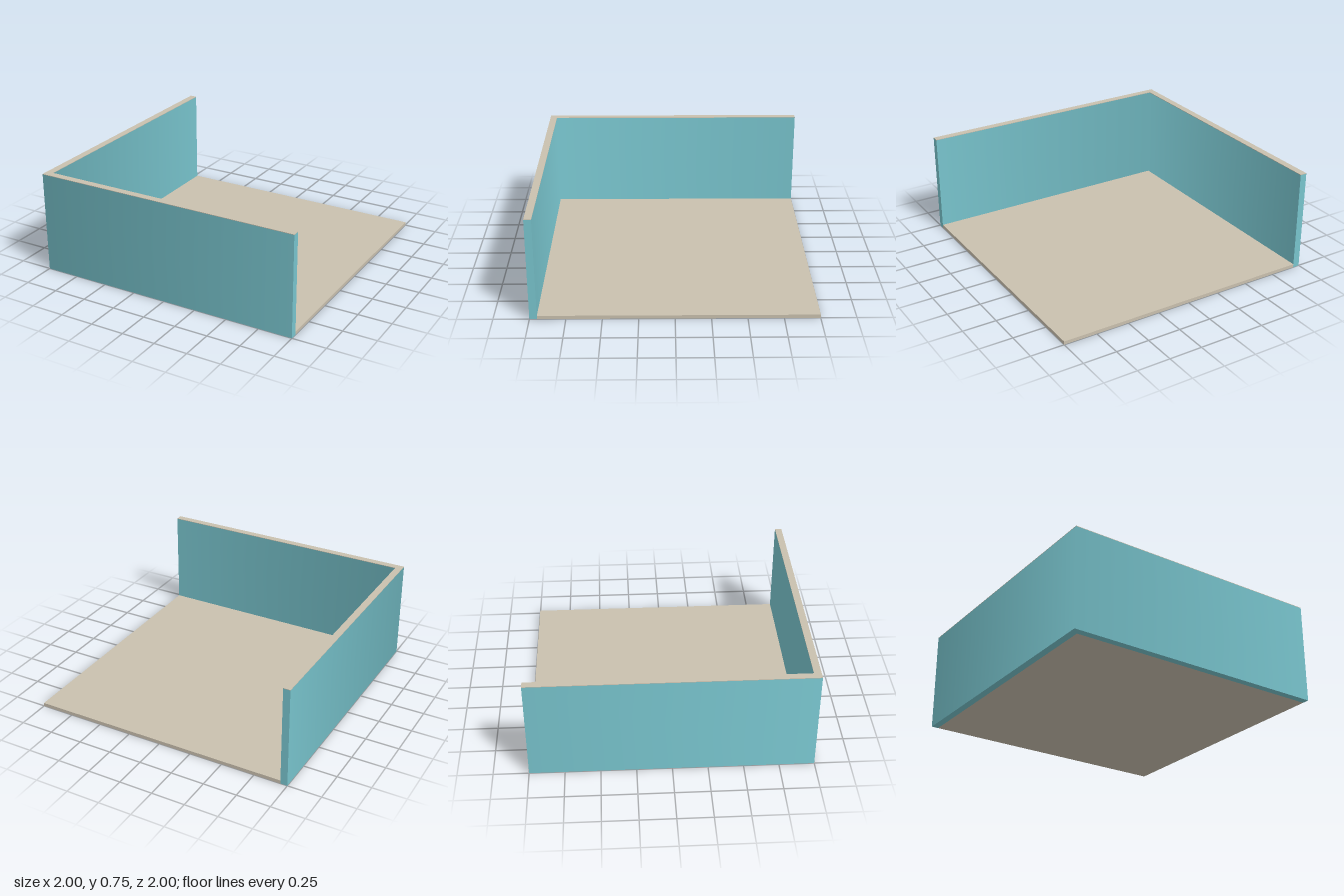
import * as THREE from 'three';

const HEIGHT = 0.755, WALL = 0.052, FLOOR = 0.025, TRIM = 0.004;

// L-shaped plan of the two joined walls, extruded upward
function wallGeometry(height) {
  const i = -1 + WALL;
  const plan = [[-1, -1], [1, -1], [1, i], [i, i], [i, 1], [-1, 1]];
  const shape = new THREE.Shape(plan.map(([x, y]) => new THREE.Vector2(x, y)));
  return new THREE.ExtrudeGeometry(shape, { depth: height, bevelEnabled: false }).rotateX(-Math.PI / 2);
}

// Blend the normals across the shared corner, inside and out
function smoothCorner(geometry) {
  const { position: p, normal: n } = geometry.attributes;
  for (let k = 0; k < p.count; k++) {
    if (Math.abs(n.getY(k)) > 0.5 || p.getX(k) > -0.9 || p.getZ(k) < 0.9) continue;
    const s = (p.getX(k) < -0.99 ? -1 : 1) * Math.SQRT1_2;
    n.setXYZ(k, s, 0, -s);
  }
  return geometry;
}

export function createModel() {
  const teal = new THREE.MeshStandardMaterial({ color: 0x78c4cd });
  teal.name = 'teal wall paint';
  const beige = new THREE.MeshStandardMaterial({ color: 0xc9c0ae });
  beige.name = 'beige plaster';

  const group = new THREE.Group();
  group.name = 'cornerRoom';
  const add = (name, geometry, material, x = 0, y = 0, z = 0) => {
    const mesh = new THREE.Mesh(geometry, material);
    mesh.name = name;
    mesh.position.set(x, y, z);
    group.add(mesh);
  };

  // Painted walls with an unpainted top edge
  add('walls', smoothCorner(wallGeometry(HEIGHT - TRIM)), teal);
  add('wallTopEdge', wallGeometry(TRIM), beige, 0, HEIGHT - TRIM);

  // Floor slab fitted inside the two walls
  const size = 2 - WALL;
  add('floor', new THREE.BoxGeometry(size, FLOOR, size), beige, WALL / 2, FLOOR / 2, -WALL / 2);

  return group;
}
